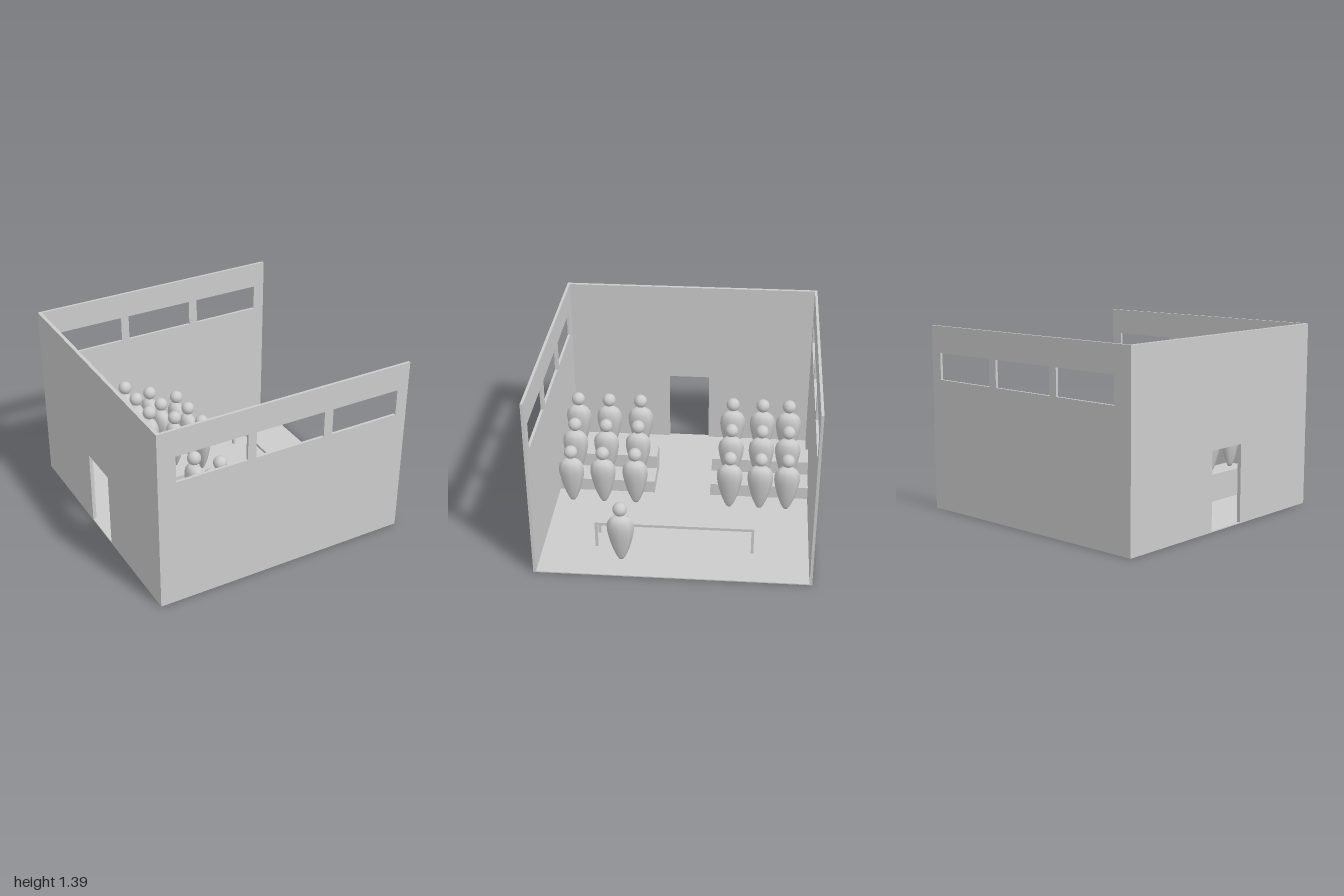
import * as THREE from 'three';

const material = new THREE.MeshStandardMaterial({ color: 0xcccccc });

function add(parent, name, geometry, x = 0, y = 0, z = 0) {
  const mesh = new THREE.Mesh(geometry, material);
  mesh.name = name;
  mesh.position.set(x, y, z);
  parent.add(mesh);
  return mesh;
}

// box given by its minimum and maximum on each axis
function box(parent, name, [x0, x1], [y0, y1], [z0, z1]) {
  return add(parent, name, new THREE.BoxGeometry(x1 - x0, y1 - y0, z1 - z0),
    (x0 + x1) / 2, (y0 + y1) / 2, (z0 + z1) / 2);
}

function rectangle(path, x0, x1, y0, y1) {
  path.moveTo(x0, y0);
  path.lineTo(x1, y0);
  path.lineTo(x1, y1);
  path.lineTo(x0, y1);
  path.closePath();
  return path;
}

// long wall with three windows
function windowWall() {
  const shape = rectangle(new THREE.Shape(), -0.99, 0.99, 0, 1.39);
  for (const [x0, x1] of [[-0.855, -0.315], [-0.25, 0.29], [0.36, 0.9]]) {
    shape.holes.push(rectangle(new THREE.Path(), x0, x1, 0.99, 1.19));
  }
  return new THREE.ExtrudeGeometry(shape, { depth: 0.02, bevelEnabled: false });
}

// end wall with a doorway; shape x runs along -z
function doorWall() {
  const shape = new THREE.Shape();
  const corners = [[-0.98, 0], [-0.18, 0], [-0.18, 0.585], [0.15, 0.585],
    [0.15, 0], [0.98, 0], [0.98, 1.39], [-0.98, 1.39]];
  shape.setFromPoints(corners.map(([x, y]) => new THREE.Vector2(x, y)));
  return new THREE.ExtrudeGeometry(shape, { depth: 0.027, bevelEnabled: false });
}

// simple figure: flattened teardrop body and ball head
const bodyProfile = [[0, 0.012], [0.018, 0.016], [0.033, 0.04], [0.058, 0.1], [0.076, 0.16],
  [0.09, 0.22], [0.098, 0.27], [0.098, 0.31], [0.09, 0.345], [0.073, 0.37], [0.042, 0.387], [0, 0.392]]
  .map(([r, y]) => new THREE.Vector2(r, y));
const bodyGeometry = new THREE.LatheGeometry(bodyProfile, 8).scale(0.65, 1, 1);
const headGeometry = new THREE.SphereGeometry(0.052, 18, 14);

function person(name, x, y, z) {
  const group = new THREE.Group();
  group.name = name;
  add(group, 'body', bodyGeometry);
  add(group, 'head', headGeometry, 0, 0.45, 0);
  group.position.set(x, y, z);
  return group;
}

export function createModel() {
  const model = new THREE.Group();
  model.name = 'hall';

  // room shell, open on its left side
  box(model, 'floor', [-0.99, 0.99], [0, 0.008], [-1, 1]);
  add(model, 'frontWall', windowWall(), 0, 0, 0.98);
  add(model, 'backWall', windowWall(), 0, 0, -1);
  add(model, 'doorWall', doorWall(), -0.99, 0, 0).rotation.y = Math.PI / 2;

  // two-step risers on both sides of the aisle
  for (const [side, z] of [['Front', [0.225, 0.98]], ['Back', [-0.98, -0.215]]]) {
    box(model, 'upperRiser' + side, [-0.47, -0.275], [0, 0.222], z);
    box(model, 'lowerRiser' + side, [-0.275, -0.08], [0, 0.11], z);
  }

  // audience, three rows rising toward the door
  const audience = new THREE.Group();
  audience.name = 'audience';
  for (const [x, y] of [[0.07, 0], [-0.17, 0.105], [-0.385, 0.213]]) {
    for (const z of [-0.81, -0.605, -0.37, 0.36, 0.61, 0.855]) {
      audience.add(person('listener', x, y, z));
    }
  }
  model.add(audience);
  model.add(person('speaker', 0.8, 0, 0.385));

  // long table
  const table = new THREE.Group();
  table.name = 'table';
  box(table, 'tableTop', [0.47, 0.66], [0.2, 0.222], [-0.575, 0.595]);
  for (const x of [0.47, 0.64]) {
    for (const z of [-0.575, 0.575]) {
      box(table, 'tableLeg', [x, x + 0.02], [0, 0.2], [z, z + 0.02]);
    }
  }
  model.add(table);

  return model;
}
